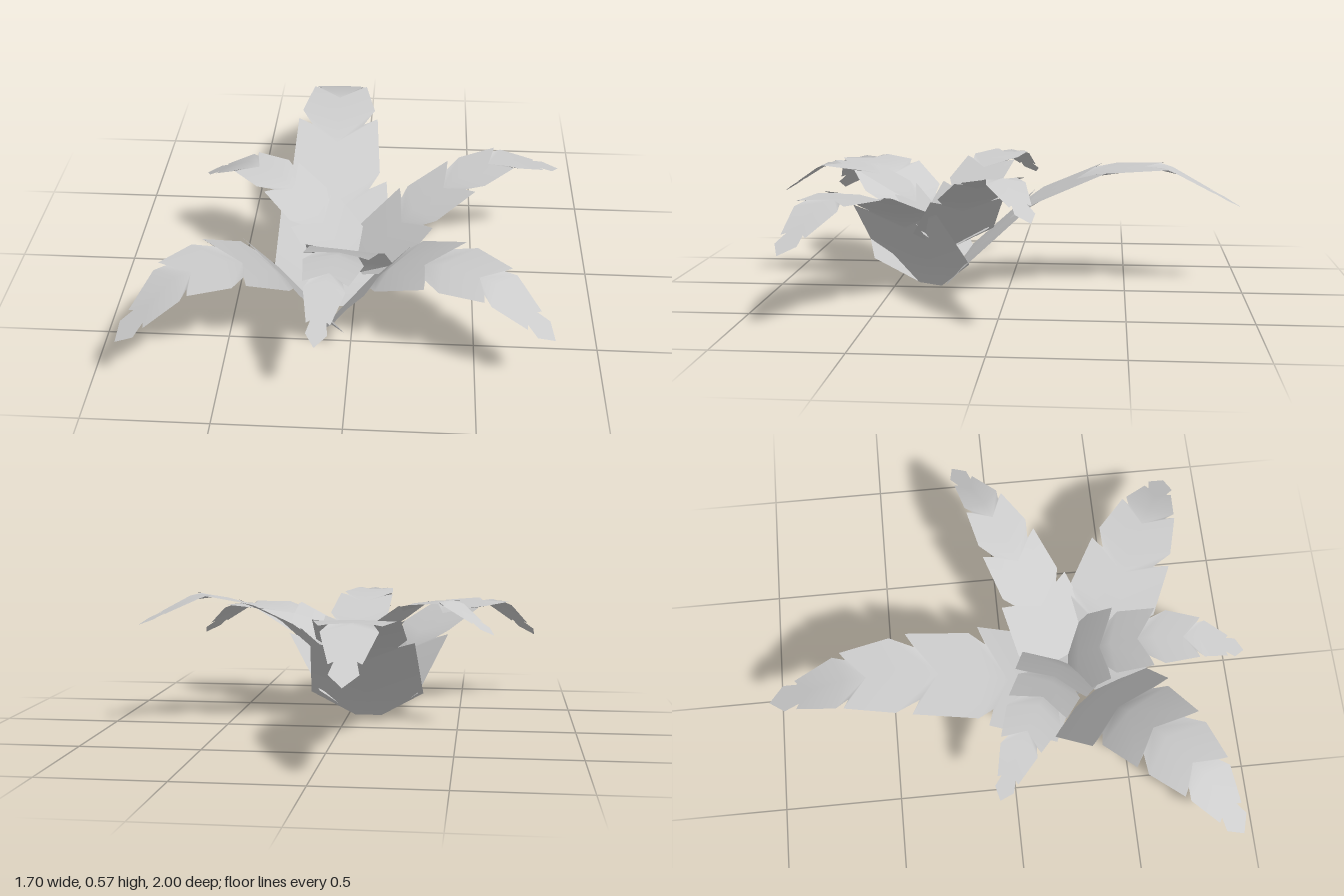
import * as THREE from 'three';

// Points where the leaves of each tier meet (x, z)
const LOWER = [-0.09, 0.33];
const UPPER = [0, 0.27];

// Outline of half a leaf: [position along the edge, half width, position on the midrib]
const OUTLINE = [
  [0, 0.06, 0], [0.1, 0.25, 0.1], [0.32, 0.22, 0.24],
  [0.3, 0.145, 0.24], [0.35, 0.19, 0.31], [0.55, 0.175, 0.46],
  [0.525, 0.115, 0.46], [0.6, 0.162, 0.54], [0.755, 0.12, 0.68],
  [0.738, 0.085, 0.68], [0.78, 0.11, 0.75], [0.91, 0.062, 0.86],
  [0.9, 0.042, 0.86], [0.95, 0.056, 0.93], [1, 0, 1],
];

// Stations at which each leaf's arch (reach r, height y) is given
const STATIONS = [0, 0.1, 0.32, 0.54, 0.75, 1];

const LEAVES = [
  // Lower tier: three large leaves rising from the ground
  { name: 'backLeaf', base: LOWER, tip: [-0.125, -1], width: 1,
    r: [0.05, 0.14, 0.43, 0.72, 1, 1.33], y: [0, 0.12, 0.385, 0.515, 0.53, 0.35] },
  { name: 'leftFrontLeaf', base: LOWER, tip: [0.785, 0.8], width: 1,
    r: [0.04, 0.1, 0.29, 0.51, 0.74, 0.99], y: [0, 0.13, 0.37, 0.465, 0.465, 0.3] },
  { name: 'rightFrontLeaf', base: LOWER, tip: [-0.855, 0.9], width: 1,
    r: [0.04, 0.1, 0.28, 0.47, 0.69, 0.95], y: [0, 0.12, 0.37, 0.475, 0.49, 0.3] },
  // Upper tier: three smaller leaves between them
  { name: 'leftBackLeaf', base: UPPER, tip: [0.85, -0.15], width: 0.72,
    r: [0.02, 0.1, 0.276, 0.47, 0.67, 0.948], y: [0.19, 0.27, 0.43, 0.53, 0.575, 0.45] },
  { name: 'frontLeaf', base: UPPER, tip: [-0.1, 1], width: 0.72,
    r: [0.01, 0.05, 0.18, 0.34, 0.53, 0.737], y: [0.19, 0.27, 0.43, 0.52, 0.535, 0.4] },
  { name: 'rightBackLeaf', base: UPPER, tip: [-0.65, -0.08], width: 0.72,
    r: [0.01, 0.06, 0.2, 0.34, 0.52, 0.738], y: [0.19, 0.27, 0.43, 0.53, 0.55, 0.42] },
];

// Linear interpolation of a station table
function sample(table, t) {
  let i = 0;
  while (i < STATIONS.length - 2 && t > STATIONS[i + 1]) i++;
  const k = (t - STATIONS[i]) / (STATIONS[i + 1] - STATIONS[i]);
  return THREE.MathUtils.lerp(table[i], table[i + 1], k);
}

// One arching leaf with notched edges: rows of right edge, midrib, left edge
function makeLeaf({ name, base, tip, width, r, y }, material) {
  const dir = new THREE.Vector2(tip[0] - base[0], tip[1] - base[1]).normalize();
  const positions = [];
  const index = [];
  const addPoint = (t, w) => {
    const reach = sample(r, t);
    positions.push(
      base[0] + dir.x * reach - dir.y * w,
      sample(y, t),
      base[1] + dir.y * reach + dir.x * w);
  };
  OUTLINE.forEach(([edge, half, mid], row) => {
    addPoint(edge, -half * width);
    addPoint(mid, 0);
    addPoint(edge, half * width);
    if (row === 0) return;
    const a = (row - 1) * 3, b = row * 3;
    // Both halves fan out from the midrib towards the edge
    index.push(a, a + 1, b, a + 1, b + 1, b);
    index.push(a + 1, a + 2, b + 2, a + 1, b + 2, b + 1);
  });
  // Drop zero-area triangles and turn the rest so the upper side is the front
  const p = (i) => new THREE.Vector3().fromArray(positions, i * 3);
  const faces = [];
  for (let i = 0; i < index.length; i += 3) {
    const [a, b, c] = index.slice(i, i + 3);
    const triangle = new THREE.Triangle(p(a), p(b), p(c));
    if (triangle.getArea() < 1e-7) continue;
    const up = triangle.getNormal(new THREE.Vector3()).y > 0;
    faces.push(a, ...(up ? [b, c] : [c, b]));
  }
  const geometry = new THREE.BufferGeometry();
  geometry.setAttribute('position', new THREE.Float32BufferAttribute(positions, 3));
  geometry.setIndex(faces);
  geometry.computeVertexNormals();
  const mesh = new THREE.Mesh(geometry, material);
  mesh.name = name;
  return mesh;
}

export function createModel() {
  const group = new THREE.Group();
  group.name = 'plant';
  const material = new THREE.MeshStandardMaterial({ color: 0xcccccc, side: THREE.DoubleSide });
  LEAVES.forEach((leaf) => group.add(makeLeaf(leaf, material)));
  return group;
}
